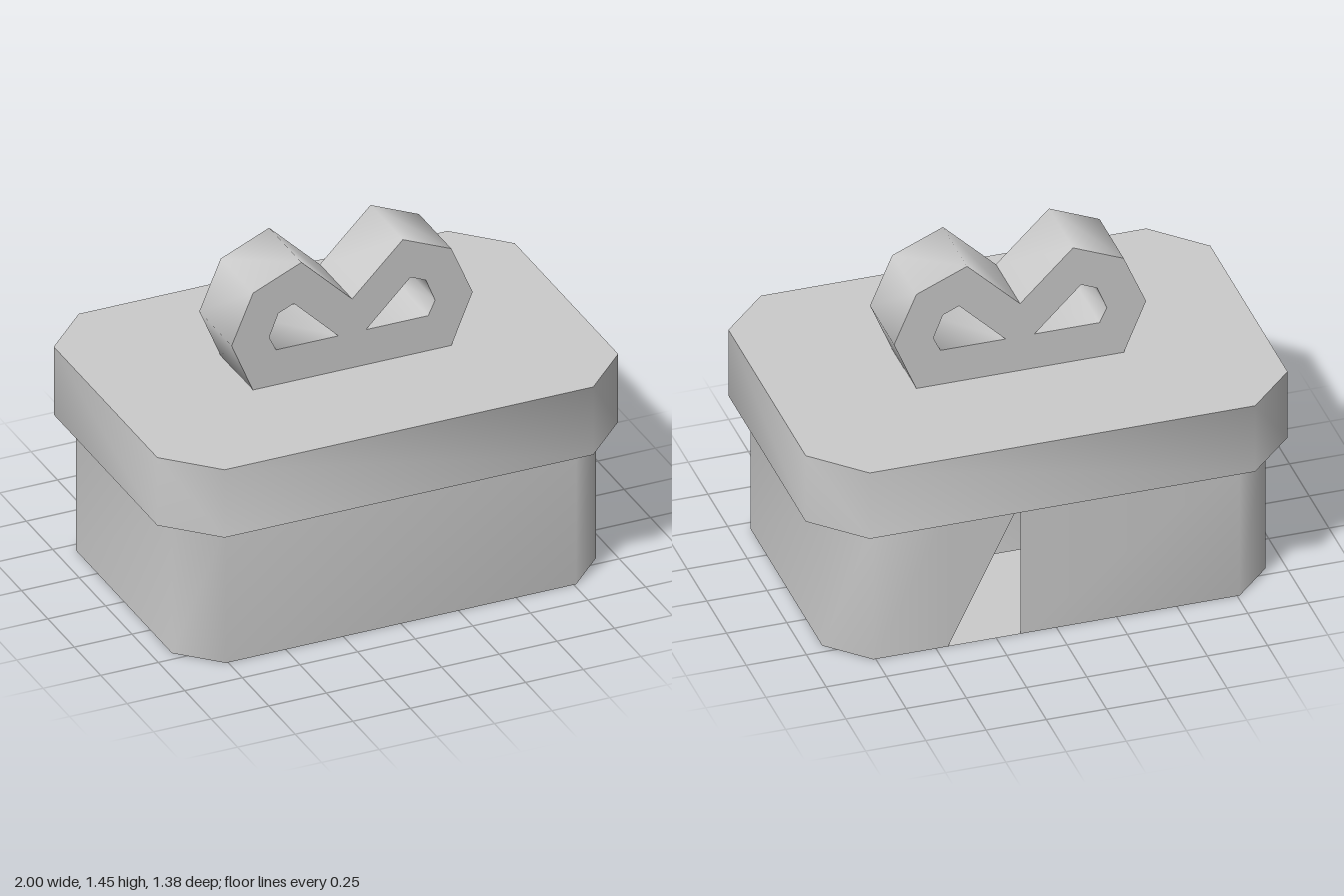
import * as THREE from 'three';
import { toCreasedNormals } from 'three/addons/utils/BufferGeometryUtils.js';

const grey = new THREE.MeshStandardMaterial({ color: 0xcccccc });
const greyThin = new THREE.MeshStandardMaterial({ color: 0xcccccc, side: THREE.DoubleSide });

function toShape(points) {
  return new THREE.Shape(points.map(([x, y]) => new THREE.Vector2(x, y)));
}

// Rectangle with cut corners, given half sizes and the size of the cut
function cutRectangle(w, d, c) {
  return [
    [w - c, -d], [c - w, -d], [-w, c - d], [-w, d - c],
    [c - w, d], [w - c, d], [w, d - c], [w, c - d],
  ];
}

// Extrusion with smooth sides and sharp rims
function smoothExtrude(shape, depth) {
  const geometry = new THREE.ExtrudeGeometry(shape, { depth, bevelEnabled: false });
  return toCreasedNormals(geometry, THREE.MathUtils.degToRad(80));
}

function addMesh(parent, name, geometry, material = grey) {
  const mesh = new THREE.Mesh(geometry, material);
  mesh.name = name;
  parent.add(mesh);
  return mesh;
}

// Upright slab standing on y = bottom
function addSlab(parent, name, points, bottom, height) {
  const geometry = smoothExtrude(toShape(points), height).rotateX(-Math.PI / 2);
  addMesh(parent, name, geometry).position.y = bottom;
}

// Thin wall around an outline; one segment keeps only its upper triangle
function openWall(outline, height, tornSegment) {
  const n = outline.length;
  const positions = [];
  const index = [];
  outline.forEach(([x, z], i) => {
    positions.push(x, 0, z, x, height, z);
    const a = 2 * i;
    const b = 2 * ((i + 1) % n);
    if (i !== tornSegment) index.push(a, b, b + 1);
    index.push(a, b + 1, a + 1);
  });
  const geometry = new THREE.BufferGeometry();
  geometry.setAttribute('position', new THREE.Float32BufferAttribute(positions, 3));
  geometry.setIndex(index);
  geometry.computeVertexNormals();
  return geometry;
}

export function createModel() {
  const model = new THREE.Group();
  model.name = 'giftBox';
  const boxHeight = 0.615;

  // Hollow box, with a triangular opening in the back wall
  const box = new THREE.Group();
  box.name = 'box';
  model.add(box);
  const outline = cutRectangle(0.92, 0.615, 0.16);
  addMesh(box, 'boxFloor', new THREE.ShapeGeometry(toShape(outline)).rotateX(Math.PI / 2), greyThin);
  const wallOutline = [...outline];
  wallOutline.splice(1, 0, [0.45, -0.615], [0.15, -0.615]);
  addMesh(box, 'boxWall', openWall(wallOutline, boxHeight, 1), greyThin);

  // Overhanging lid with a plug that reaches into the box
  const lid = new THREE.Group();
  lid.name = 'lid';
  model.add(lid);
  addSlab(lid, 'lidTop', cutRectangle(1, 0.69, 0.2), boxHeight, 0.307);
  addSlab(lid, 'lidPlug', cutRectangle(0.8, 0.49, 0.12), 0.31, boxHeight - 0.31);

  // Bow with two mirrored loops
  const half = [[0.43, 0.92], [0.523, 1.143], [0.43, 1.36], [0.22, 1.45]];
  const mirrored = half.map(([x, y]) => [-x, y]).reverse();
  const bow = toShape([...half, [0, 1.233], ...mirrored]);
  const opening = [[0.06, 1.08], [0.33, 1.08], [0.36, 1.143], [0.32, 1.243], [0.253, 1.272]];
  for (const side of [1, -1]) {
    bow.holes.push(new THREE.Path(opening.map(([x, y]) => new THREE.Vector2(side * x, y))));
  }
  addMesh(model, 'bow', smoothExtrude(bow, 0.306)).position.z = -0.153;

  return model;
}
